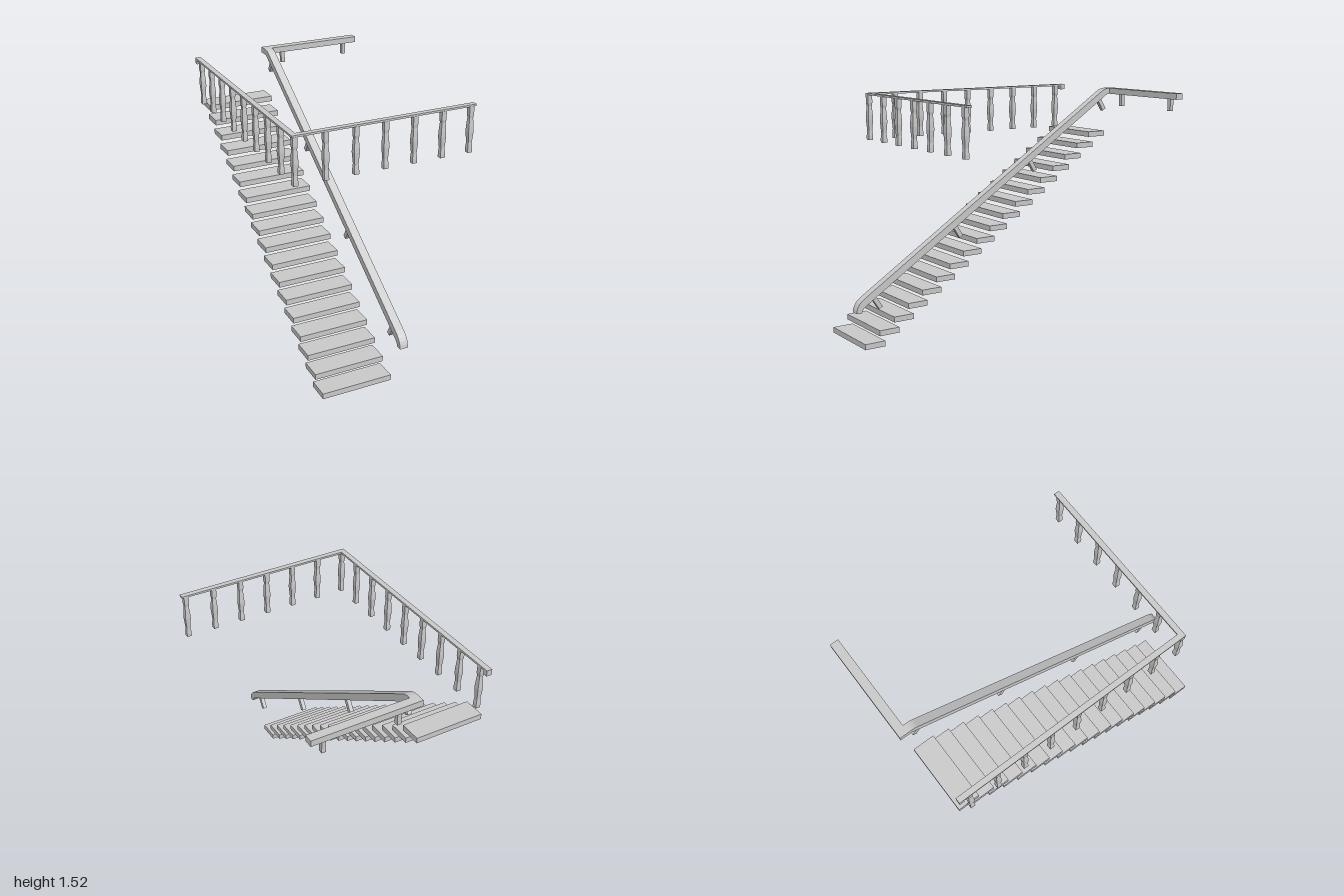
import * as THREE from 'three';

const material = new THREE.MeshStandardMaterial({ color: 0xcccccc, flatShading: true, side: THREE.DoubleSide });

export function createModel() {
  const model = new THREE.Group();

  const add = (name, geometry, x = 0, y = 0, z = 0, parent = model) => {
    const mesh = new THREE.Mesh(geometry, material);
    mesh.name = name;
    mesh.position.set(x, y, z);
    parent.add(mesh);
    return mesh;
  };
  // Box given by its extents on each axis
  const addBox = (name, [x0, x1], [y0, y1], [z0, z1]) =>
    add(name, new THREE.BoxGeometry(x1 - x0, y1 - y0, z1 - z0), (x0 + x1) / 2, (y0 + y1) / 2, (z0 + z1) / 2);

  // Floating treads
  const treads = new THREE.Group();
  treads.name = 'treads';
  model.add(treads);
  const treadGeometry = new THREE.BoxGeometry(0.44, 0.035, 0.137);
  for (let i = 0; i < 18; i++) {
    add('tread', treadGeometry, -0.331, 0.0175 + i * 0.0698, 0.847 - i * 0.102, treads);
  }

  // Sloping handrail: side profile drawn in (-z, y), extruded across x
  const profile = new THREE.Shape();
  profile.moveTo(-1, 0.257);
  profile.quadraticCurveTo(-0.995, 0.312, -0.94, 0.345);
  profile.lineTo(0.88, 1.5);
  profile.quadraticCurveTo(0.905, 1.516, 0.94, 1.516);
  profile.lineTo(1, 1.516);
  profile.lineTo(1, 1.478);
  profile.lineTo(0.925, 1.478);
  profile.lineTo(-0.93, 0.298);
  profile.quadraticCurveTo(-0.957, 0.283, -0.965, 0.257);
  const railGeometry = new THREE.ExtrudeGeometry(profile, { depth: 0.052, bevelEnabled: false, curveSegments: 5 });
  railGeometry.rotateY(Math.PI / 2);
  add('slopedHandrail', railGeometry, -0.101);
  addBox('landingHandrail', [-0.049, 0.585], [1.478, 1.516], [-1, -0.945]);

  // Handrail brackets, square to the rail
  const slope = Math.atan2(1.155, 1.82);
  for (let i = 0; i < 4; i++) {
    const bracket = add('slopedRailBracket', new THREE.BoxGeometry(0.026, 0.1, 0.028),
      -0.075, 0.307 + i * 0.3695, 0.856 - i * 0.58);
    bracket.rotation.x = slope;
  }
  for (const x of [0.04, 0.502]) {
    addBox('landingRailBracket', [x - 0.013, x + 0.013], [1.4, 1.48], [-0.99, -0.964]);
  }

  // Guard rails around the upper floor opening
  addBox('sideGuardRail', [-0.588, -0.553], [1.505, 1.517], [-0.955, 0.588]);
  addBox('frontGuardRail', [-0.588, 0.577], [1.505, 1.517], [0.588, 0.623]);
  addBox('guardRailEndBlock', [-0.588, -0.553], [1.48, 1.506], [-0.955, -0.925]);

  // Square balusters with a shaped shaft: [half width, height]
  const outline = [[0, 0], [0.015, 0], [0.015, 0.025], [0.012, 0.06], [0.017, 0.13],
    [0.016, 0.16], [0.012, 0.215], [0.015, 0.235], [0.015, 0.287], [0, 0.287]];
  const balusterGeometry = new THREE.LatheGeometry(
    outline.map(([w, y]) => new THREE.Vector2(w * Math.SQRT2, y)), 4, Math.PI / 4);
  const balusters = new THREE.Group();
  balusters.name = 'balusters';
  model.add(balusters);
  for (let i = 0; i < 7; i++) add('frontBaluster', balusterGeometry, -0.569 + i * 0.186, 1.22, 0.61, balusters);
  for (let i = 1; i < 9; i++) add('sideBaluster', balusterGeometry, -0.57, 1.22, 0.61 - i * 0.1865, balusters);

  return model;
}
